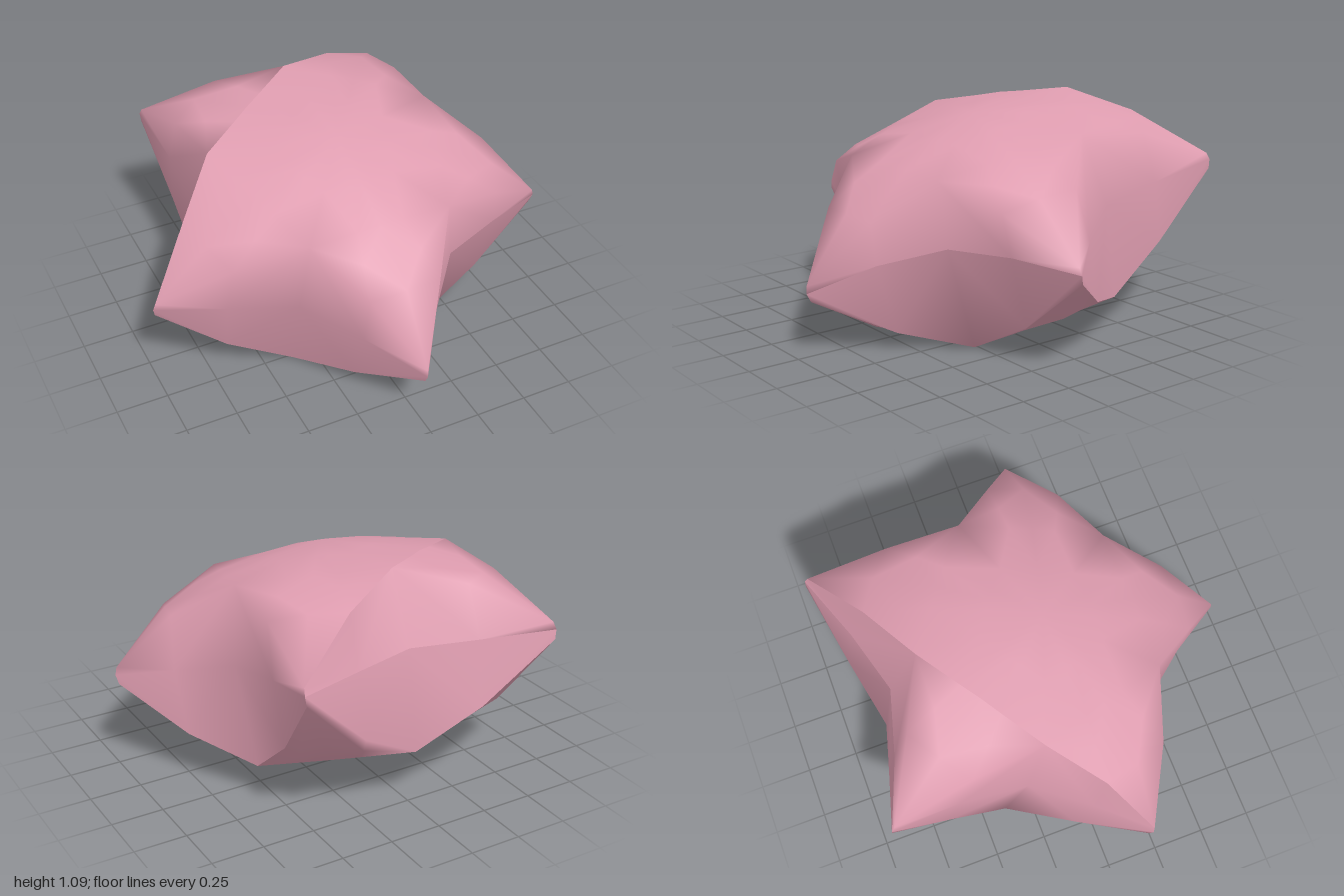
import * as THREE from 'three';
import { mergeVertices } from 'three/addons/utils/BufferGeometryUtils.js';

const ARM = Math.PI * 2 / 5;

// The three directions that repeat round the star. Each lists [radius, height]
// from the top centre, over the ridge and wall, to the bottom centre.
const TIP = [[0, 0.475], [0.26, 0.44], [0.485, 0.395], [0.78, 0.275], [1.045, 0.035],
  [1.055, 0], [1.045, -0.045], [0.78, -0.315], [0.485, -0.462], [0.26, -0.51], [0, -0.55]];
const MID = [[0, 0.475], [0.26, 0.437], [0.498, 0.39], [0.64, 0.335], [0.79, 0.262],
  [0.815, 0.01], [0.79, -0.3], [0.64, -0.39], [0.505, -0.459], [0.26, -0.508], [0, -0.55]];
const VALLEY = [[0, 0.475], [0.3, 0.432], [0.6, 0.385], [0.6, 0.385], [0.6, 0.385],
  [0.665, 0.03], [0.615, -0.455], [0.615, -0.455], [0.615, -0.455], [0.3, -0.506], [0, -0.55]];
const DIRS = [[TIP, 0], [MID, 0.226], [VALLEY, ARM / 2], [MID, ARM - 0.226]];

// Small folding irregularities: [reach, swing] of each tip, height of each wall's fold
const TIP_SHAPE = [[1.02, 0], [1, 0.025], [1.03, -0.01], [1.03, 0.01], [1, -0.025]];
const FOLD_LIFT = [0.05, 0, 0, 0, 0];

// Point at step j round the star (4 per arm, 0 = front tip) and layer k
function point(j, k) {
  const arm = Math.floor(j / 4);
  const [profile, offset] = DIRS[j % 4];
  let angle = arm * ARM + offset;
  let [r, h] = profile[k];
  if (j % 4 === 0 && k > 3 && k < 7) {
    r *= TIP_SHAPE[arm][0];
    angle += TIP_SHAPE[arm][1];
  } else if (k === 5) {
    h += FOLD_LIFT[arm];
  }
  return [r * Math.sin(angle), h, r * Math.cos(angle)];
}

// Which folded paper panel a cell belongs to; normals are smooth inside a panel
function panelOf(j, k) {
  const wall = Math.floor(j / 4);
  const arm = Math.floor(((j + 2) % 20) / 4);
  if (k < 4) return k >= 2 && arm === 3 ? 'underside' : 'topPanel';
  if (k > 5) return k <= 7 && arm === 2 ? 'backFlap' : 'underside';
  if (wall === 0) return k === 4 ? 'topPanel' : 'underside';
  if (wall === 2) return k === 4 ? 'underside' : 'backFlap';
  return wall === 3 ? 'underside' : 'topPanel';
}

function addTriangle(list, a, b, c) {
  const v = [a, b, c].map(p => new THREE.Vector3(...p));
  const area = v[1].clone().sub(v[0]).cross(v[2].clone().sub(v[0])).length();
  if (area > 1e-6) list.push(...a, ...b, ...c);
}

export function createModel() {
  const paper = new THREE.MeshStandardMaterial({ color: 0xdf9db0 });
  paper.name = 'pink paper';
  const model = new THREE.Group();
  model.name = 'puffyPaperStar';

  // Sort all cells into panels
  const panels = { topPanel: [], underside: [], backFlap: [] };
  for (let j = 0; j < 20; j++) {
    for (let k = 0; k < 10; k++) {
      const n = (j + 1) % 20;
      const a = point(j, k), b = point(j, k + 1), c = point(n, k + 1), d = point(n, k);
      const list = panels[panelOf(j, k)];
      // Mirror the diagonal so each arm stays symmetrical
      if (j % 2 === 0) {
        addTriangle(list, a, b, c);
        addTriangle(list, a, c, d);
      } else {
        addTriangle(list, a, b, d);
        addTriangle(list, b, c, d);
      }
    }
  }

  // Star body, leaning forward
  const star = new THREE.Group();
  star.name = 'starBody';
  for (const [name, list] of Object.entries(panels)) {
    const raw = new THREE.BufferGeometry();
    raw.setAttribute('position', new THREE.Float32BufferAttribute(list, 3));
    const geometry = mergeVertices(raw, 1e-4);
    geometry.computeVertexNormals();
    const mesh = new THREE.Mesh(geometry, paper);
    mesh.name = name;
    star.add(mesh);
  }
  star.rotation.x = 0.2527;
  star.position.set(0, 0.576, -0.095);
  model.add(star);
  return model;
}
